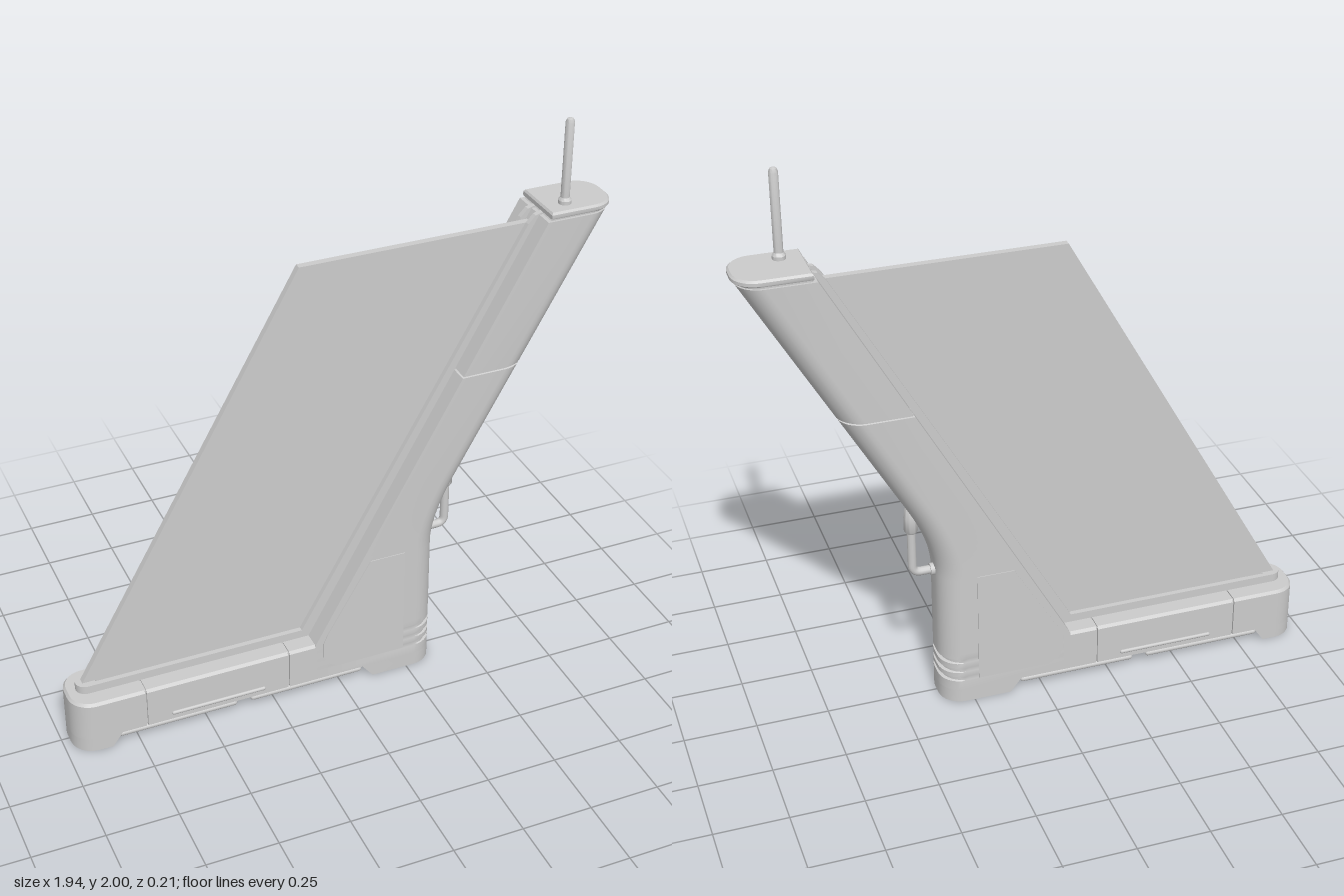
import * as THREE from 'three';
import { toCreasedNormals } from 'three/addons/utils/BufferGeometryUtils.js';

const material = new THREE.MeshStandardMaterial({ color: 0xcccccc });

// Horizontal rounded outline; rl and rr round the left (-x) and right (+x) ends.
function ring(y, x0, x1, hz, rl, rr) {
  const pts = [];
  const corners = [[x1, 1, rr, 1, 0], [x0, 1, rl, -1, 1], [x0, -1, rl, -1, 2], [x1, -1, rr, 1, 3]];
  for (const [x, sz, r, sx, q] of corners) {
    const n = r > 0 ? 8 : 0;
    for (let i = 0; i <= n; i++) {
      const a = (q + (n ? i / n : 0)) * Math.PI / 2;
      pts.push([x - sx * r + r * Math.cos(a), y, sz * (hz - r) + r * Math.sin(a)]);
    }
  }
  return pts;
}

// Skin a stack of outlines and close both ends.
function loft(rings) {
  const pos = [];
  const n = rings[0].length;
  const tri = (a, b, c) => pos.push(...a, ...b, ...c);
  const middle = r => [0, 1, 2].map(k => r.reduce((s, p) => s + p[k], 0) / n);
  const first = rings[0], last = rings[rings.length - 1];
  const c0 = middle(first), c1 = middle(last);
  for (let i = 0; i < n; i++) {
    const j = (i + 1) % n;
    for (let k = 0; k + 1 < rings.length; k++) {
      const a = rings[k], b = rings[k + 1];
      tri(a[i], b[i], a[j]);
      tri(a[j], b[i], b[j]);
    }
    tri(c0, first[i], first[j]);
    tri(c1, last[j], last[i]);
  }
  const g = new THREE.BufferGeometry();
  g.setAttribute('position', new THREE.Float32BufferAttribute(pos, 3));
  return toCreasedNormals(g, 0.5);
}

// Front-view polygon given thickness along z.
function plate(points, z0, z1) {
  const shape = new THREE.Shape(points.map(p => new THREE.Vector2(...p)));
  const g = new THREE.ExtrudeGeometry(shape, { depth: z1 - z0, bevelEnabled: false });
  return g.translate(0, 0, z0);
}

// Edges of the leaning column at height y.
const columnLeft = y => -0.1 + 0.556 * Math.max(0, y - 0.2);
function columnRight(y) {
  if (y <= 0.5) return 0.36;
  if (y >= 0.785) return 0.46 + 0.565 * (y - 0.785);
  const t = (-0.22 + Math.sqrt(0.0484 + 0.26 * (y - 0.5))) / 0.13;
  return 0.36 + 0.1 * t * t;
}

export function createModel() {
  const model = new THREE.Group();
  const add = (name, geometry, x = 0, y = 0, z = 0) => {
    const m = new THREE.Mesh(geometry, material);
    m.name = name;
    m.position.set(x, y, z);
    model.add(m);
    return m;
  };

  // Column with vent grooves around its rounded edge and a seam at mid height
  const levels = [[0.05, 0, 0]];
  for (const y of [0.095, 0.13, 0.168]) {
    levels.push([y - 0.009, 0, 0], [y - 0.006, 0.012, 0], [y + 0.006, 0.012, 0], [y + 0.009, 0, 0]);
  }
  levels.push([0.2, 0, 0]);
  for (let i = 0; i <= 12; i++) levels.push([0.5 + 0.285 * i / 12, 0, 0]);
  levels.push([1.156, 0, 0], [1.158, 0, 0.005], [1.162, 0, 0.005], [1.164, 0, 0], [1.672, 0, 0]);
  add('column', loft(levels.map(([y, vent, seam]) =>
    ring(y, columnLeft(y) + seam, columnRight(y) - vent - seam, 0.1 - seam, 0, 0.08))));

  // Cap above a narrow shadow gap
  add('capNeck', loft([ring(1.67, 0.73, 0.955, 0.092, 0, 0.075), ring(1.682, 0.74, 0.96, 0.092, 0, 0.075)]));
  add('columnCap', loft([
    ring(1.68, 0.73, 0.968, 0.098, 0, 0.08), ring(1.684, 0.73, 0.972, 0.1, 0, 0.08),
    ring(1.695, 0.73, 0.972, 0.1, 0, 0.08), ring(1.702, 0.735, 0.965, 0.094, 0, 0.075)]));

  // Base in three sections separated by seams
  const sections = [[-0.972, -0.723, 0.08], [-0.717, -0.203, 0], [-0.197, -0.1, 0]];
  for (const [x0, x1, r] of sections) {
    const inset = r ? 0.008 : 0;
    add('baseSection', loft([ring(0.05, x0, x1, 0.1, r, 0), ring(0.19, x0, x1, 0.1, r, 0),
      ring(0.2, x0 + inset, x1, 0.092, r ? r - 0.008 : 0, 0)]));
  }
  add('baseCore', new THREE.BoxGeometry(0.7, 0.14, 0.184), -0.45, 0.125, 0);

  // Feet, underside keel and its lengthwise runners
  add('leftEndFoot', loft([ring(0, -0.972, -0.845, 0.1, 0.08, 0), ring(0.05, -0.972, -0.81, 0.1, 0.08, 0)]));
  add('rightEndFoot', loft([ring(0, 0.12, 0.36, 0.1, 0, 0.08), ring(0.05, 0.08, 0.36, 0.1, 0, 0.08)]));
  add('keel', new THREE.BoxGeometry(0.98, 0.05, 0.07), -0.36, 0.026, 0);
  for (const s of [-1, 1]) {
    for (const [x0, x1] of [[-0.82, -0.39], [-0.34, 0.08]]) {
      const runner = add('runner', new THREE.CapsuleGeometry(0.01, x1 - x0 - 0.02, 4, 10),
        (x0 + x1) / 2, 0.035, s * 0.085);
      runner.rotation.z = Math.PI / 2;
    }
    const strip = add('sideStrip', new THREE.CapsuleGeometry(0.007, 0.33, 4, 10), -0.46, 0.075, s * 0.1);
    strip.rotation.z = Math.PI / 2;
  }

  // Access doors on both faces
  add('accessDoors', plate([[-0.02, 0.09], [0.235, 0.09], [0.235, 0.505], [0.105, 0.505],
    [-0.055, 0.235], [-0.07, 0.2], [-0.07, 0.14], [-0.055, 0.11]], -0.103, 0.103));

  // Rails holding the screen
  const railOutline = [[-0.9, 0.195], [-0.09, 0.195], [0.735, 1.68], [0.705, 1.672], [0.68, 1.645],
    [-0.125, 0.23], [-0.9, 0.23]];
  add('frontRail', plate(railOutline, 0.018, 0.036));
  add('backRail', plate(railOutline, -0.036, -0.018));
  add('railEnd', new THREE.CylinderGeometry(0.036, 0.036, 0.035, 24), -0.9, 0.2125, 0);

  // Thin slanted screen
  add('screen', plate([[-0.925, 0.21], [-0.11, 0.21], [0.7, 1.64], [-0.113, 1.64]], -0.012, 0.012));

  // Antenna
  const mast = [[0, 0], [0.022, 0], [0.022, 0.014], [0.015, 0.024], [0.015, 0.285], [0.011, 0.296], [0, 0.3]];
  add('antenna', toCreasedNormals(new THREE.LatheGeometry(
    mast.map(p => new THREE.Vector2(...p)), 20), 0.6), 0.805, 1.7, 0.043);

  // Hooked arm with a rounded grip behind the column
  const path = new THREE.CurvePath();
  const v = (x, y) => new THREE.Vector3(x, y, -0.008);
  path.add(new THREE.LineCurve3(v(0.345, 0.51), v(0.405, 0.51)));
  path.add(new THREE.QuadraticBezierCurve3(v(0.405, 0.51), v(0.435, 0.51), v(0.435, 0.54)));
  path.add(new THREE.LineCurve3(v(0.435, 0.54), v(0.435, 0.69)));
  add('hookArm', new THREE.TubeGeometry(path, 40, 0.015, 12));
  const collar = add('hookCollar', new THREE.CylinderGeometry(0.021, 0.021, 0.025, 20), 0.362, 0.51, -0.008);
  collar.rotation.z = Math.PI / 2;
  const grip = [[0, 0], [0.018, 0], [0.024, 0.01], [0.024, 0.06], [0.019, 0.095], [0.01, 0.11], [0, 0.113]];
  add('hookGrip', toCreasedNormals(new THREE.LatheGeometry(
    grip.map(p => new THREE.Vector2(...p)), 20), 0.9), 0.435, 0.67, -0.008);

  return model;
}
